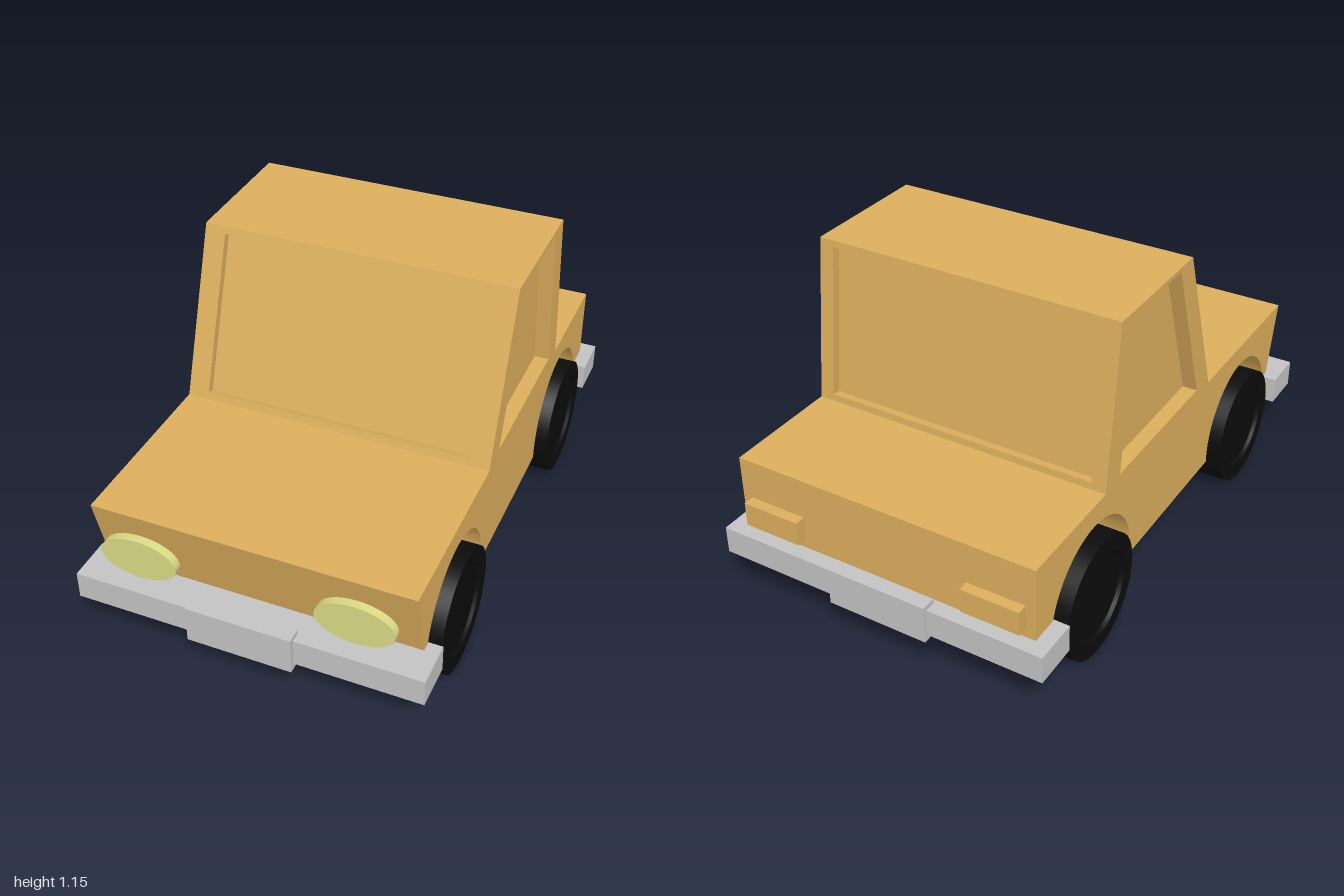
import * as THREE from 'three';

const mat = (name, color) => new THREE.MeshStandardMaterial({ name, color });

export function createModel() {
  const paint = mat('ochre paint', 0xdcae5d);
  const metal = mat('bumper grey', 0xc3c3c3);
  const lamp = mat('lamp yellow', 0xdada85);
  const rubber = mat('tyre black', 0x0c0c0c);
  const car = new THREE.Group();
  car.name = 'car';

  const add = (name, geometry, material) => {
    const mesh = new THREE.Mesh(geometry, material);
    mesh.name = name;
    car.add(mesh);
    return mesh;
  };
  const box = (name, material, x0, x1, y0, y1, z0, z1) =>
    add(name, new THREE.BoxGeometry(x1 - x0, y1 - y0, z1 - z0), material)
      .position.set((x0 + x1) / 2, (y0 + y1) / 2, (z0 + z1) / 2);

  // Side profile in (z, y); each sloping pane can be set back from its frame
  const slope = (s, a, b, recessed) => {
    if (recessed) {
      const dir = b.clone().sub(a).normalize();
      const inward = new THREE.Vector2(dir.y, -dir.x).multiplyScalar(0.03);
      const p = a.clone().lerp(b, 0.042), q = a.clone().lerp(b, 0.958);
      for (const v of [p, p.clone().add(inward), q.clone().add(inward), q]) s.lineTo(v.x, v.y);
    }
    s.lineTo(b.x, b.y);
  };
  const profile = (frontPane, rearPane, sideWindow) => {
    const s = new THREE.Shape();
    const dip = Math.asin(0.02 / 0.265);
    s.moveTo(0.925, 0.2);
    for (const z of [0.57, -0.572]) s.absarc(z, 0.22, 0.265, -dip, Math.PI + dip, false);
    s.lineTo(-0.93, 0.2);
    s.lineTo(-0.93, 0.565);
    s.lineTo(-0.5, 0.565);
    slope(s, new THREE.Vector2(-0.5, 0.565), new THREE.Vector2(-0.43, 1.15), rearPane);
    s.lineTo(0.06, 1.15);
    slope(s, new THREE.Vector2(0.06, 1.15), new THREE.Vector2(0.27, 0.565), frontPane);
    s.lineTo(0.925, 0.565);
    s.closePath();
    if (sideWindow) {
      s.holes.push(new THREE.Path([[-0.405, 0.585], [0.17, 0.585], [-0.025, 1.135], [-0.34, 1.135]]
        .map(([z, y]) => new THREE.Vector2(z, y))));
    }
    return s;
  };
  const slab = (name, x0, x1, shape) => {
    const g = new THREE.ExtrudeGeometry(shape, { depth: x1 - x0, bevelEnabled: false, curveSegments: 24 });
    g.rotateY(-Math.PI / 2).translate(x1, 0, 0);
    add(name, g, paint);
  };

  // Body built across its width: middle, pillars, window-framed sides
  slab('bodyMiddle', -0.485, 0.485, profile(true, true, false));
  for (const [side, m] of [['left', 1], ['right', -1]]) {
    const mirrored = (name, a, b, shape) =>
      slab(side + name, Math.min(m * a, m * b), Math.max(m * a, m * b), shape);
    mirrored('Pillars', 0.485, 0.507, profile(false, true, false));
    mirrored('BodySide', 0.507, 0.56, profile(false, false, true));
  }

  // Bumpers with a raised centre plate
  box('frontBumper', metal, -0.615, 0.61, 0.195, 0.295, 0.82, 0.98);
  box('frontBumperPlate', metal, -0.2, 0.17, 0.175, 0.312, 0.945, 1);
  box('rearBumper', metal, -0.615, 0.61, 0.195, 0.295, -0.985, -0.82);
  box('rearBumperPlate', metal, -0.2, 0.17, 0.175, 0.312, -1, -0.945);

  // Oval headlights and box tail lights
  for (const [name, x] of [['rightHeadlight', -0.39], ['leftHeadlight', 0.363]]) {
    const g = new THREE.CylinderGeometry(1, 1, 0.03, 40).rotateX(Math.PI / 2).scale(0.136, 0.077, 1);
    add(name, g, lamp).position.set(x, 0.408, 0.931);
  }
  box('rightTailLight', paint, -0.525, -0.315, 0.33, 0.418, -0.968, -0.92);
  box('leftTailLight', paint, 0.31, 0.525, 0.33, 0.418, -0.968, -0.92);

  // Wheels: tyre outline with a shallow dished hub on both faces
  const w = 0.068;
  const outline = [[0, 0.012 - w], [0.15, 0.012 - w], [0.16, -w], [0.218, -w],
    [0.218, w], [0.16, w], [0.15, w - 0.012], [0, w - 0.012]];
  // Repeated segments keep each band of the tyre crisp
  for (const [end, z] of [['front', 0.57], ['rear', -0.575]]) {
    for (const [side, x] of [['Left', 0.526], ['Right', -0.526]]) {
      const wheel = new THREE.Group();
      wheel.name = end + side + 'Wheel';
      for (let i = 0; i < outline.length - 1; i++) {
        const band = outline.slice(i, i + 2).map(([r, y]) => new THREE.Vector2(r, y));
        const mesh = new THREE.Mesh(new THREE.LatheGeometry(band, 40).rotateZ(-Math.PI / 2), rubber);
        mesh.name = 'wheelBand';
        wheel.add(mesh);
      }
      wheel.position.set(x, 0.218, z);
      car.add(wheel);
    }
  }
  return car;
}
